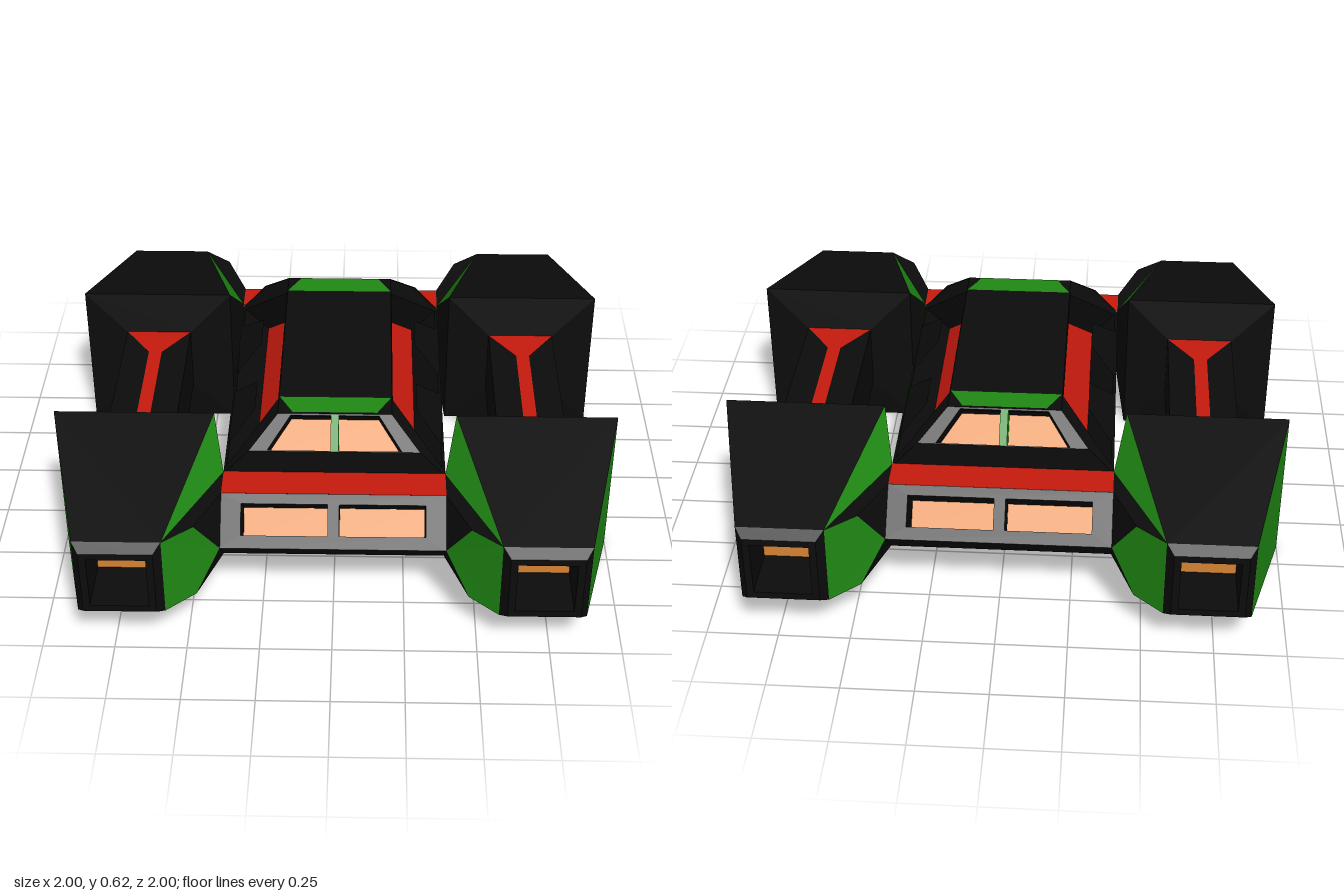
import * as THREE from 'three';

const mat = (color) => new THREE.MeshStandardMaterial({ color, flatShading: true, side: THREE.DoubleSide });
const BLACK = mat(0x0c0c0c), GREEN = mat(0x208a14), RED = mat(0xc81a0e), ORANGE = mat(0xd88435);

function add(group, name, geometry, material) {
  const mesh = new THREE.Mesh(geometry, material);
  mesh.name = name;
  group.add(mesh);
  return mesh;
}

// Flat convex facet from its corners
function facet(group, name, material, ...pts) {
  const index = [];
  for (let i = 1; i < pts.length - 1; i++) index.push(0, i, i + 1);
  const geo = new THREE.BufferGeometry();
  geo.setAttribute('position', new THREE.Float32BufferAttribute(pts.flat(), 3));
  geo.setIndex(index);
  const flat = geo.toNonIndexed();
  flat.computeVertexNormals();
  return add(group, name, flat, material);
}

// Four-sided tapering tube between two rectangles [x0, x1, y0, y1, z]
function taper(group, names, materials, a, b) {
  const ring = ([x0, x1, y0, y1, z]) => [[x0, y0, z], [x1, y0, z], [x1, y1, z], [x0, y1, z]];
  const A = ring(a), B = ring(b);
  for (let i = 0; i < 4; i++) {
    const j = (i + 1) % 4;
    facet(group, names + ['Bottom', 'OuterSide', 'Top', 'InnerSide'][i], materials[i], A[i], A[j], B[j], B[i]);
  }
}

// Flat panel with sunken openings; u runs along the panel, v up it
function sunkenPanel(parent, name, origin, u, v, outline, holes, depth, floorMaterial) {
  const g = new THREE.Group();
  g.name = name;
  const U = new THREE.Vector3(...u).normalize(), V = new THREE.Vector3(...v).normalize();
  g.quaternion.setFromRotationMatrix(new THREE.Matrix4().makeBasis(U, V, U.clone().cross(V)));
  g.position.set(...origin);
  const toShape = (pts) => new THREE.Shape(pts.map((p) => new THREE.Vector2(...p)));
  const face = toShape(outline);
  for (const hole of holes) {
    face.holes.push(toShape(hole));
    hole.forEach(([x, y], i) => {
      const [x2, y2] = hole[(i + 1) % hole.length];
      facet(g, name + 'Wall', BLACK, [x, y, 0], [x2, y2, 0], [x2, y2, -depth], [x, y, -depth]);
    });
    add(g, name + 'Inset', new THREE.ShapeGeometry(toShape(hole)), floorMaterial).position.z = -depth;
  }
  add(g, name + 'Frame', new THREE.ShapeGeometry(face), BLACK);
  parent.add(g);
  return g;
}

const rect = (x0, x1, y0, y1) => [[x0, y0], [x1, y0], [x1, y1], [x0, y1]];
const trapezoid = (low, high, y0, y1) => [[-low, y0], [low, y0], [high, y1], [-high, y1]];

// Corner pod with nozzle and the fairing that joins it to the hull
function makePod() {
  const g = new THREE.Group();
  g.name = 'cornerPod';
  const black = [BLACK, BLACK, BLACK, BLACK];
  const big = [0.43, 1, 0, 0.57, 0.4], small = [0.57, 0.87, 0.14, 0.44, 0.965];
  taper(g, 'pod', [BLACK, GREEN, BLACK, GREEN], big, small);
  taper(g, 'podInnerEnd', black, big, [0.59, 0.84, 0.16, 0.41, 0.375]);
  taper(g, 'nozzleRim', black, small, [0.595, 0.845, 0.165, 0.415, 1]);
  sunkenPanel(g, 'nozzle', [0.72, 0.29, 1], [1, 0, 0], [0, 1, 0],
    rect(-0.125, 0.125, -0.125, 0.125), [rect(-0.1, 0.1, -0.1, 0.1)], 0.2, ORANGE);

  const tip = [0.39, 0.29, 0.81];
  const topOut = [0.57, 0.44, 0.965], topMid = [0.47, 0.44, 0.88], topIn = [0.39, 0.43, 0.56];
  const lowOut = [0.57, 0.14, 0.965], lowMid = [0.47, 0.145, 0.88], lowIn = [0.39, 0.16, 0.56];
  const podTop = [0.43, 0.57, 0.4], podLow = [0.43, 0, 0.4];
  const hullTop = [0.39, 0.43, 0.68], hullLow = [0.39, 0.16, 0.68];
  facet(g, 'fairingFront', GREEN, tip, topMid, topOut, lowOut, lowMid);
  facet(g, 'fairingUpper', GREEN, topOut, topIn, podTop);
  facet(g, 'fairingDeck', BLACK, topOut, topMid, hullTop, topIn);
  facet(g, 'fairingShoulder', BLACK, topMid, tip, hullTop);
  facet(g, 'fairingLower', BLACK, lowOut, podLow, lowIn);
  facet(g, 'fairingFloor', BLACK, lowOut, lowIn, hullLow, lowMid);
  facet(g, 'fairingLowerShoulder', BLACK, lowMid, hullLow, tip);
  facet(g, 'fairingBack', BLACK, topIn, podTop, podLow, lowIn);
  return g;
}

// One end of the hull and cabin, facing +z
function makeEnd() {
  const g = new THREE.Group();
  g.name = 'hullEnd';
  const w = 0.39;
  facet(g, 'deckBar', RED, [-w, 0.43, 0.555], [-w, 0.43, 0.68], [w, 0.43, 0.68], [w, 0.43, 0.555]);
  facet(g, 'lowerNose', BLACK, [-w, 0.29, 0.81], [-w, 0.16, 0.68], [w, 0.16, 0.68], [w, 0.29, 0.81]);
  sunkenPanel(g, 'lights', [0, 0.29, 0.81], [1, 0, 0], [0, 0.14, -0.13],
    rect(-w, w, 0, 0.191), [rect(-0.32, -0.02, 0.045, 0.155), rect(0.02, 0.32, 0.045, 0.155)], 0.17, ORANGE);

  facet(g, 'cabinEndWall', BLACK, [-w, 0.42, 0.555], [w, 0.42, 0.555], [0.3, 0.52, 0.555], [-0.3, 0.52, 0.555]);
  const windshield = sunkenPanel(g, 'windshield', [0, 0.52, 0.555], [1, 0, 0], [0, 1, -1],
    trapezoid(0.3, 0.2, 0, 0.134), [trapezoid(0.235, 0.155, 0.003, 0.128)], 0.085, ORANGE);
  add(windshield, 'windshieldPost', new THREE.BoxGeometry(0.028, 0.13, 0.09), GREEN).position.set(0, 0.066, -0.044);
  facet(g, 'visor', GREEN, [-0.2, 0.618, 0.36], [0.2, 0.618, 0.36], [0.15, 0.618, 0.455], [-0.15, 0.618, 0.455]);
  return g;
}

// One flank: hull side, cabin side windows and connecting strut, facing +x
function makeFlank() {
  const g = new THREE.Group();
  g.name = 'flank';
  const side = [[0.43, 0.68], [0.29, 0.81], [0.16, 0.68], [0.16, -0.68], [0.29, -0.81], [0.43, -0.68]];
  facet(g, 'hullSide', GREEN, ...side.map(([y, z]) => [0.39, y, z]));
  const outline = [[-0.555, 0], [0.555, 0], [0.555, 0.141], [0.46, 0.272], [-0.46, 0.272], [-0.555, 0.141]];
  const windows = sunkenPanel(g, 'sideWindow', [0.39, 0.42, 0], [0, 0, -1], [-1, 1, 0],
    outline, [trapezoid(0.52, 0.36, 0.015, 0.264)], 0.127, RED);
  for (const s of [-1, 1]) {
    facet(windows, 'windowShield', BLACK, [s * 0.06, 0.01, 0.002], [s * 0.39, 0.01, 0.002],
      [s * 0.3, 0.141, 0.002], [s * 0.13, 0.141, 0.002]);
    facet(g, 'strutStripeEnd', RED, [0.59, 0.412, s * 0.375], [0.84, 0.412, s * 0.375],
      [0.74, 0.412, s * 0.23], [0.69, 0.412, s * 0.23]);
  }
  facet(g, 'strutStripe', RED, [0.69, 0.412, -0.23], [0.74, 0.412, -0.23], [0.74, 0.412, 0.23], [0.69, 0.412, 0.23]);
  add(g, 'strut', new THREE.BoxGeometry(0.25, 0.25, 0.76), BLACK).position.set(0.715, 0.285, 0);
  return g;
}

export function createModel() {
  const model = new THREE.Group();
  model.name = 'hoverCraft';

  add(model, 'hullBottom', new THREE.BoxGeometry(0.78, 0.01, 1.36), BLACK).position.y = 0.165;
  add(model, 'roof', new THREE.BoxGeometry(0.4, 0.012, 0.92), BLACK).position.y = 0.609;

  // Everything repeats by half a turn; the pods also mirror across x
  for (const turn of [0, Math.PI]) {
    const half = new THREE.Group();
    half.name = turn ? 'backHalf' : 'frontHalf';
    half.rotation.y = turn;
    const mirrored = makePod();
    mirrored.scale.x = -1;
    half.add(makeEnd(), makeFlank(), makePod(), mirrored);
    model.add(half);
  }
  return model;
}
